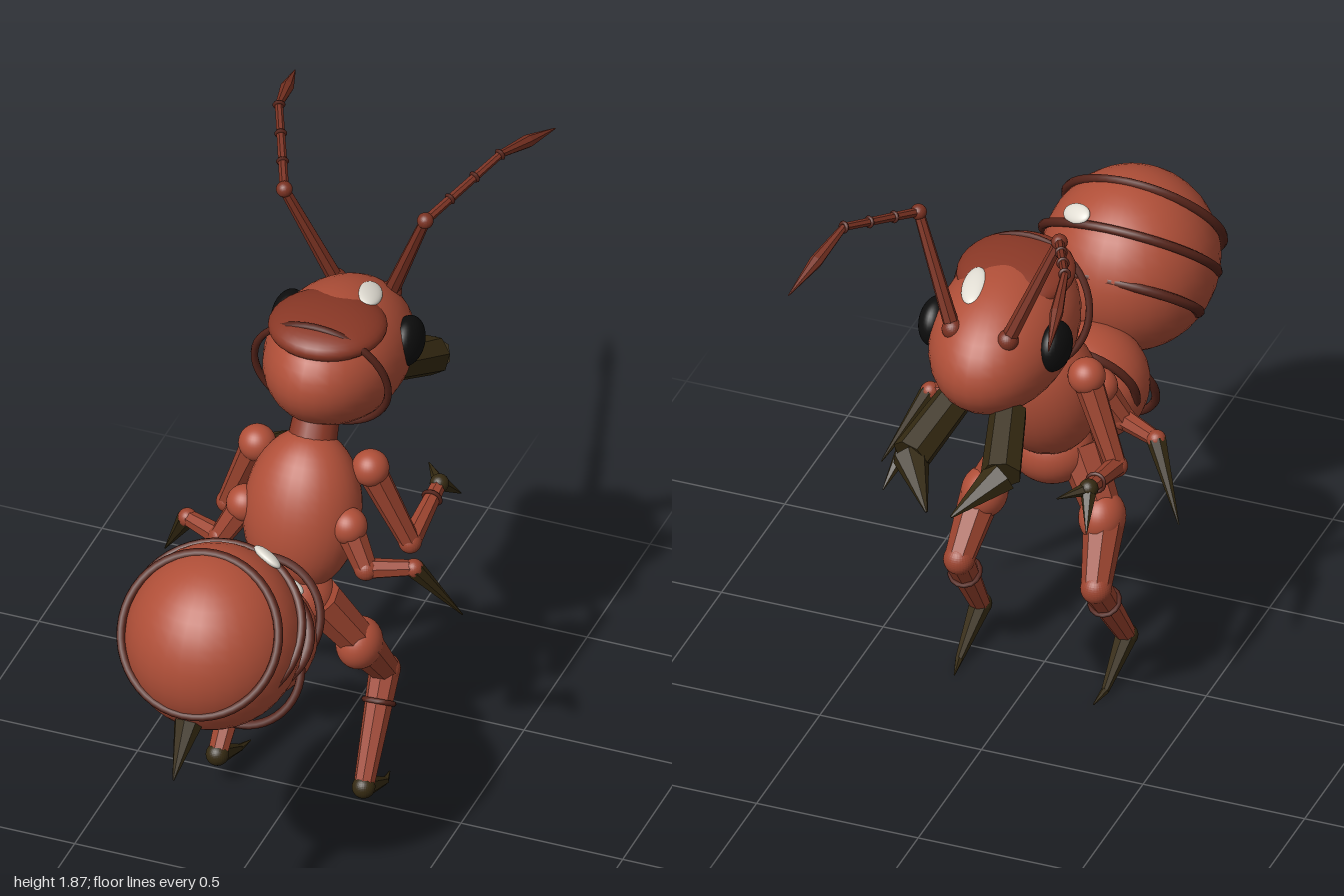
import * as THREE from 'three';

const mat = (name, color, flatShading = false) => {
  const m = new THREE.MeshStandardMaterial({ color, flatShading });
  m.name = name;
  return m;
};

export function createModel() {
  const model = new THREE.Group();
  model.name = 'ant';

  const shell = mat('rust shell', 0xb04f38);
  const limb = mat('limb rust', 0x9c442f, true);
  const cap = mat('dark rust', 0x8a3826);
  const band = mat('band brown', 0x56241a);
  const horn = mat('dark horn', 0x352a12, true);
  const black = mat('eye black', 0x0d0d0d);
  const white = mat('highlight white', 0xe2ded4);
  const feeler = mat('feeler rust', 0x7a3222, true);

  const V = (a) => new THREE.Vector3(...a);
  const add = (parent, name, geo, material) => {
    const mesh = new THREE.Mesh(geo, material);
    mesh.name = name;
    parent.add(mesh);
    return mesh;
  };
  const ball = (parent, name, material, pos, size, tilt = 0) => {
    const m = add(parent, name, new THREE.SphereGeometry(1, 32, 22), material);
    m.position.set(...pos);
    m.scale.set(...size);
    m.rotation.x = tilt;
    return m;
  };
  // Ring around the body, elliptical in x and its own y
  const ring = (name, y, z, rx, ry, tilt, tube = 0.013) => {
    const m = add(model, name, new THREE.TorusGeometry(ry, tube, 8, 48), band);
    m.position.set(0, y, z);
    m.scale.x = rx / ry;
    m.rotation.x = tilt;
  };
  // Tapered bar between two points
  const bar = (parent, name, material, a, b, r0, r1, sides = 7) => {
    const p = V(a), q = V(b), d = q.clone().sub(p);
    const m = add(parent, name, new THREE.CylinderGeometry(r1, r0, d.length(), sides), material);
    m.position.copy(p).add(q).multiplyScalar(0.5);
    m.quaternion.setFromUnitVectors(new THREE.Vector3(0, 1, 0), d.normalize());
    return m;
  };
  // Thin ring around a limb, partway along a bar
  const cuff = (parent, name, a, b, t, r, tube) => {
    const p = V(a), q = V(b);
    const m = add(parent, name, new THREE.TorusGeometry(r, tube, 6, 14), band);
    m.position.copy(p).lerp(q, t);
    m.quaternion.setFromUnitVectors(new THREE.Vector3(0, 0, 1), q.sub(p).normalize());
  };
  // Flat shiny spot lying on a surface
  const spot = (name, pos, normal, sx, sz, spin = 0) => {
    const m = ball(model, name, white, pos, [sx, 0.016, sz]);
    m.quaternion.setFromUnitVectors(new THREE.Vector3(0, 1, 0), V(normal).normalize());
    m.rotateY(spin);
  };

  // Abdomen with bands and sting
  ball(model, 'rearAbdomen', shell, [0, 0.984, 0.68], [0.26, 0.272, 0.274]);
  ring('rearBandBack', 1.06, 0.79, 0.238, 0.236, -0.6, 0.014);
  ring('rearBandMiddle', 1.015, 0.676, 0.262, 0.246, -0.785, 0.014);
  ring('rearBandFront', 0.93, 0.572, 0.246, 0.19, -0.82, 0.015);
  bar(model, 'sting', horn, [0, 0.83, 0.86], [0, 0.685, 1.0], 0.05, 0.003, 8);
  ball(model, 'frontAbdomen', shell, [0, 0.758, 0.346], [0.178, 0.174, 0.19]);
  ring('frontAbdomenBandBack', 0.715, 0.434, 0.172, 0.17, -0.46);
  ring('frontAbdomenBandFront', 0.8, 0.28, 0.172, 0.167, -0.45);

  // Waist, thorax and neck
  ball(model, 'waistNode', shell, [0, 0.71, 0.12], [0.075, 0.075, 0.075]);
  ring('waistBand', 0.71, 0.15, 0.066, 0.064, -0.1);
  ball(model, 'pelvis', shell, [0, 0.72, 0.05], [0.125, 0.11, 0.115]);
  ball(model, 'thorax', shell, [0, 0.97, -0.025], [0.175, 0.245, 0.155], -0.3);
  bar(model, 'neck', cap, [0, 1.13, -0.085], [0, 1.27, -0.16], 0.075, 0.065, 18);

  // Head
  ball(model, 'head', shell, [0, 1.342, -0.315], [0.205, 0.198, 0.31], -0.15);
  ball(model, 'headCap', cap, [0, 1.487, -0.225], [0.172, 0.063, 0.178], -0.06);
  ring('headBand', 1.35, -0.174, 0.206, 0.2, 0.26, 0.011);

  // Shiny spots
  spot('headHighlight', [0.07, 1.512, -0.38], [0.25, 1, -0.25], 0.037, 0.077, 0.2);
  spot('rearHighlight', [0.11, 1.195, 0.535], [0.45, 0.8, -0.5], 0.052, 0.032, -0.4);
  spot('frontAbdomenHighlight', [0.083, 0.898, 0.252], [0.45, 0.8, -0.5], 0.034, 0.022, -0.4);

  for (const [side, s] of [['left', 1], ['right', -1]]) {
    const P = (x, y, z) => [s * x, y, z];
    const group = (name) => {
      const g = new THREE.Group();
      g.name = side + name;
      model.add(g);
      return g;
    };

    // Eye
    ball(model, side + 'Eye', black, P(0.183, 1.37, -0.388), [0.048, 0.075, 0.077]);

    // Mandible
    const jaw = group('Mandible');
    const jawBend = P(0.14, 1.105, -0.7);
    bar(jaw, 'jawBase', horn, P(0.085, 1.19, -0.5), jawBend, 0.055, 0.06);
    bar(jaw, 'jawTip', horn, jawBend, P(0.038, 1.02, -0.838), 0.055, 0.004);

    // Antenna
    const antenna = group('Antenna');
    const root = P(0.085, 1.44, -0.51), bend = P(0.218, 1.768, -0.44);
    const mid = P(0.342, 1.853, -0.715), end = P(0.402, 1.775, -0.997);
    ball(antenna, 'socket', feeler, root, [0.032, 0.032, 0.032]);
    bar(antenna, 'scape', feeler, root, bend, 0.024, 0.016);
    ball(antenna, 'elbow', feeler, bend, [0.024, 0.024, 0.024]);
    bar(antenna, 'flagellum', feeler, bend, mid, 0.014, 0.012);
    for (const t of [0.33, 0.66, 1]) cuff(antenna, 'joint', bend, mid, t, 0.013, 0.006);
    const bulge = V(mid).lerp(V(end), 0.5).toArray();
    bar(antenna, 'clubBase', feeler, mid, bulge, 0.011, 0.02);
    bar(antenna, 'clubTip', feeler, bulge, end, 0.02, 0.002);

    // Front arm with forked claw
    const arm = group('FrontArm');
    const shoulder = P(0.175, 1.1, -0.115), elbow = P(0.282, 0.84, -0.155), wrist = P(0.285, 0.9, -0.38);
    ball(arm, 'shoulder', shell, shoulder, [0.055, 0.055, 0.055]);
    bar(arm, 'upperArm', limb, shoulder, elbow, 0.046, 0.032);
    ball(arm, 'elbow', limb, elbow, [0.034, 0.034, 0.034]);
    bar(arm, 'forearm', limb, elbow, wrist, 0.032, 0.022);
    cuff(arm, 'cuff', elbow, wrist, 0.75, 0.027, 0.006);
    ball(arm, 'wrist', horn, wrist, [0.028, 0.028, 0.028]);
    bar(arm, 'claw', horn, wrist, P(0.315, 0.81, -0.475), 0.026, 0.002, 6);
    bar(arm, 'innerClaw', horn, wrist, P(0.22, 0.9, -0.465), 0.022, 0.002, 6);

    // Middle arm with a single long claw
    const midArm = group('MiddleArm');
    const s2 = P(0.16, 0.98, 0.02), e2 = P(0.225, 0.865, 0.05), w2 = P(0.35, 0.86, -0.01);
    ball(midArm, 'shoulder', shell, s2, [0.055, 0.055, 0.055]);
    bar(midArm, 'upperArm', limb, s2, e2, 0.045, 0.034);
    ball(midArm, 'elbow', limb, e2, [0.035, 0.035, 0.035]);
    bar(midArm, 'forearm', limb, e2, w2, 0.032, 0.024);
    ball(midArm, 'wrist', limb, w2, [0.028, 0.028, 0.028]);
    bar(midArm, 'claw', horn, w2, P(0.46, 0.655, -0.115), 0.03, 0.002, 7);

    // Hind leg
    const leg = group('HindLeg');
    const hip = P(0.085, 0.73, 0.06), thigh = P(0.19, 0.555, -0.01);
    const knee = P(0.212, 0.39, -0.135), ankle = P(0.226, 0.11, 0.07);
    bar(leg, 'hip', limb, hip, thigh, 0.07, 0.055, 8);
    ball(leg, 'thighJoint', shell, P(0.182, 0.555, -0.01), [0.068, 0.078, 0.078]);
    bar(leg, 'thigh', limb, thigh, knee, 0.062, 0.044, 8);
    ball(leg, 'knee', limb, knee, [0.046, 0.046, 0.046]);
    bar(leg, 'shin', limb, knee, ankle, 0.046, 0.03, 8);
    cuff(leg, 'shinBand', knee, ankle, 0.28, 0.043, 0.009);
    const toe = P(0.226, 0.02, -0.1);
    ball(leg, 'ankle', horn, ankle, [0.034, 0.034, 0.034]);
    bar(leg, 'foot', horn, ankle, toe, 0.034, 0.012, 7);
    bar(leg, 'toe', horn, toe, P(0.215, 0.008, -0.165), 0.012, 0.002, 6);
  }
  return model;
}
